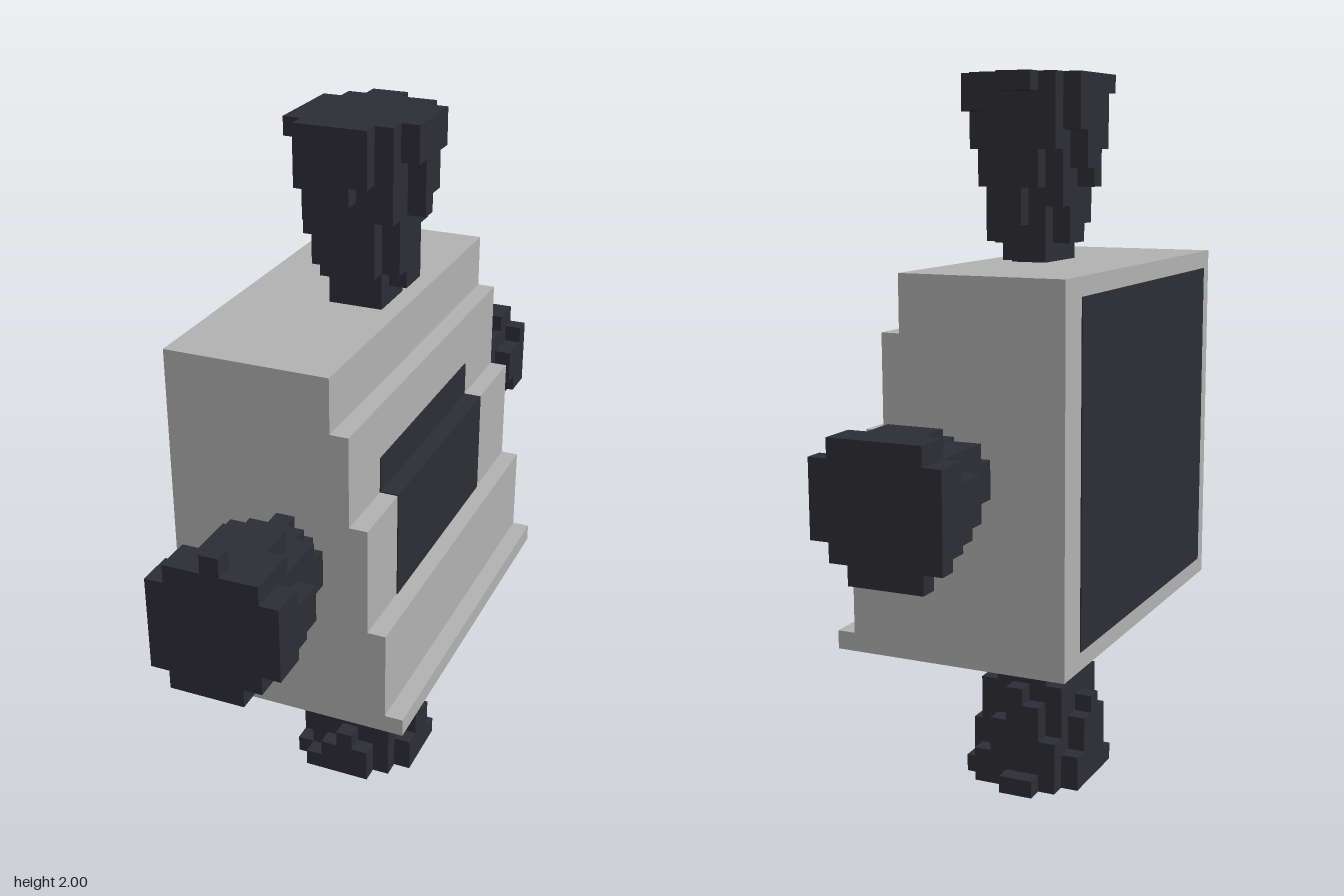
import * as THREE from 'three';
import { mergeGeometries } from 'three/addons/utils/BufferGeometryUtils.js';

const S = 0.05; // size of one block

// Each character is one column of a knob: the layer where it starts, '.' for empty.
const TOP = ['..99...', '.64248.', '7300148', '5100016', '4100015', '6200028', '942225.', '.9767..'];
const BOTTOM = ['..99...', '.75468.', '8421249', '6100027', '5100026', '6200038', '942236.', '.9878..'];
const FRONT = ['...7...', '.63335.', '6210126', '4100014', '4100014', '5200026', '731113.', '.6556..'];
const BACK = ['.......', '.53335.', '5110126', '3000014', '3000014', '4100025', '631113.', '.6556..'];

export function createModel() {
  const group = new THREE.Group();
  const grey = new THREE.MeshStandardMaterial({ color: 0xb3b3b3 });
  grey.name = 'light grey';
  const dark = new THREE.MeshStandardMaterial({ color: 0x2d2d36 });
  dark.name = 'dark slate';

  const add = (name, geometry, material) => {
    const mesh = new THREE.Mesh(geometry, material);
    mesh.name = name;
    group.add(mesh);
  };
  // Box given by its two opposite corners
  const span = (x0, x1, y0, y1, z0, z1) =>
    new THREE.BoxGeometry(x1 - x0, y1 - y0, z1 - z0)
      .translate((x0 + x1) / 2, (y0 + y1) / 2, (z0 + z1) / 2);

  // Body: stepped profile extruded from back to front
  const profile = new THREE.Shape();
  profile.moveTo(-0.325, 0.5);
  profile.lineTo(0.325, 0.5);
  const steps = [[0.325, 0.55], [0.275, 0.8], [0.225, 1.1], [0.175, 1.35], [0.125, 1.5]];
  steps.forEach(([x, y], i) => {
    profile.lineTo(x, y);
    if (i < steps.length - 1) profile.lineTo(steps[i + 1][0], y);
  });
  profile.lineTo(-0.325, 1.5);
  profile.closePath();
  const body = new THREE.ExtrudeGeometry(profile, { depth: 1.1, bevelEnabled: false });
  add('steppedBody', body.translate(0, 0, -0.575), grey);

  // Painted panels: large one on the flat side, small one wrapping a step
  const t = 0.003;
  add('largePanel', span(-0.325 - t, -0.325 + t, 0.55, 1.45, -0.475, 0.475), dark);
  add('smallPanelUpper', span(0.175 - t, 0.175 + t, 1.1, 1.2, -0.325, 0.325), dark);
  add('smallPanelLedge', span(0.175, 0.225 + t, 1.1 - t, 1.1 + t, -0.325, 0.325), dark);
  add('smallPanelLower', span(0.225 - t, 0.225 + t, 0.8, 1.1, -0.325, 0.325), dark);

  // Knobs: blocky flared posts, built from columns along one axis
  const knob = (name, rows, layers, axis, base, dir) => {
    const columns = [];
    rows.forEach((row, v) => [...row].forEach((c, u) => {
      if (c === '.') return;
      const x = -0.175 + u * S;
      const ends = [base + dir * Number(c) * S, base + dir * layers * S].sort((a, b) => a - b);
      if (axis === 'y') {
        const z = -0.225 + v * S;
        columns.push(span(x, x + S, ...ends, z, z + S));
      } else {
        const y = 1.2 - v * S;
        columns.push(span(x, x + S, y - S, y, ...ends));
      }
    }));
    add(name, mergeGeometries(columns), dark);
  };
  knob('topKnob', TOP, 10, 'y', 1.5, 1);
  knob('bottomKnob', BOTTOM, 10, 'y', 0.5, -1);
  knob('frontKnob', FRONT, 8, 'z', 0.525, 1);
  knob('backKnob', BACK, 7, 'z', -0.575, -1);

  return group;
}
